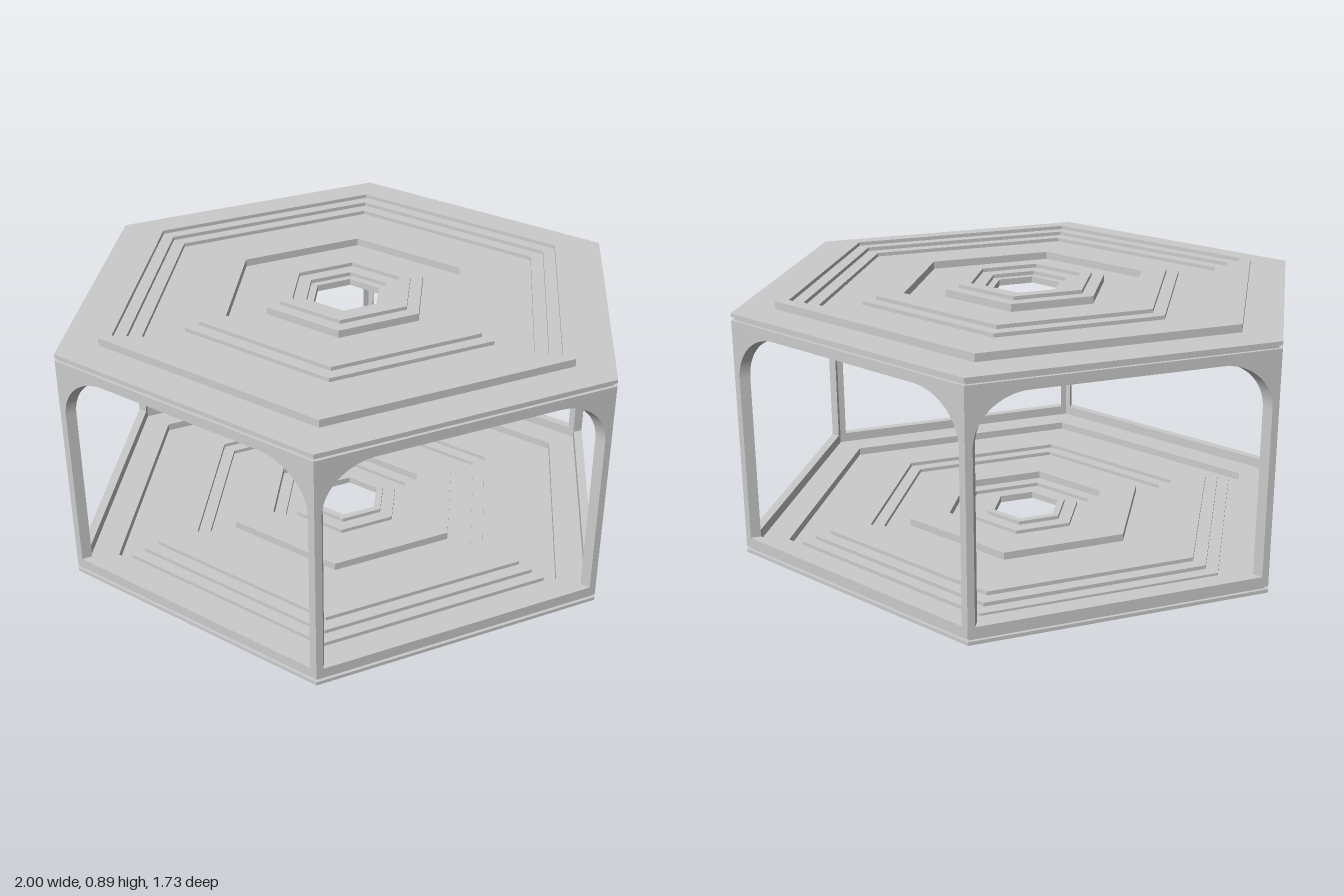
import * as THREE from 'three';

const HEIGHT = 0.887;
const APOTHEM = Math.sqrt(3) / 2;
const material = new THREE.MeshStandardMaterial({ color: 0xcccccc, flatShading: true, side: THREE.DoubleSide });

// Stepped hexagonal plate: each step is [outer radius, height of its tread]
function plateGeometry() {
  const steps = [
    [1, 0.861], [0.857, 0.887], [0.812, 0.874], [0.765, 0.861], [0.715, 0.848],
    [0.572, 0.861], [0.525, 0.874], [0.43, 0.848],
    [0.287, 0.874], [0.24, 0.887], [0.197, 0.874], [0.147, 0.861],
  ];
  const hole = 0.12;
  const thickness = 0.022;
  const top = [];
  const under = [];
  steps.forEach(([r, y], i) => {
    const inner = i + 1 < steps.length ? steps[i + 1][0] : hole;
    top.push(new THREE.Vector2(r, y), new THREE.Vector2(inner, y));
    if (i > 0) under.push(new THREE.Vector2(r, y - thickness), new THREE.Vector2(inner, y - thickness));
  });
  // Rim with a shallow groove where it meets the frame
  const rim = [[0.857, 0.838], [0.988, 0.838], [0.988, 0.849], [1, 0.849]].map(p => new THREE.Vector2(...p));
  const profile = [...under.reverse(), ...rim, ...top];
  profile.push(profile[0].clone());
  return new THREE.LatheGeometry(profile, 6, Math.PI / 2);
}

// Side panel with an opening that is square below and arched at its upper corners
function panelGeometry() {
  const bottom = HEIGHT - 0.838, top = 0.838, depth = 0.03;
  const shape = new THREE.Shape();
  shape.moveTo(-0.5, bottom);
  shape.lineTo(0.5, bottom);
  shape.lineTo(0.5, top);
  shape.lineTo(-0.5, top);
  shape.closePath();

  const w = 0.477, sill = 0.084, head = 0.804, rx = 0.175, ry = 0.16;
  const opening = new THREE.Path();
  opening.moveTo(-w, sill);
  opening.lineTo(-w, head - ry);
  opening.absellipse(-w + rx, head - ry, rx, ry, Math.PI, Math.PI / 2, true);
  opening.lineTo(w - rx, head);
  opening.absellipse(w - rx, head - ry, rx, ry, Math.PI / 2, 0, true);
  opening.lineTo(w, sill);
  opening.closePath();
  shape.holes.push(opening);

  const geometry = new THREE.ExtrudeGeometry(shape, { depth, bevelEnabled: false, curveSegments: 16 });
  geometry.translate(0, 0, APOTHEM - depth);
  // Taper towards the centre so neighbouring panels meet in a mitre
  const p = geometry.attributes.position;
  for (let i = 0; i < p.count; i++) p.setX(i, p.getX(i) * p.getZ(i) / APOTHEM);
  geometry.computeVertexNormals();
  return geometry;
}

export function createModel() {
  const model = new THREE.Group();
  model.name = 'hexagonalTable';

  // Top plate and its mirrored base
  const plate = plateGeometry();
  const topPlate = new THREE.Mesh(plate, material);
  topPlate.name = 'topPlate';
  const basePlate = new THREE.Mesh(plate, material);
  basePlate.name = 'basePlate';
  basePlate.rotation.x = Math.PI;
  basePlate.position.y = HEIGHT;
  model.add(topPlate, basePlate);

  // Six arched panels form the corner posts and rails
  const frame = new THREE.Group();
  frame.name = 'archedFrame';
  const panel = panelGeometry();
  for (let i = 0; i < 6; i++) {
    const side = new THREE.Mesh(panel, material);
    side.name = `archedPanel${i + 1}`;
    side.rotation.y = i * Math.PI / 3;
    frame.add(side);
  }
  model.add(frame);
  return model;
}
